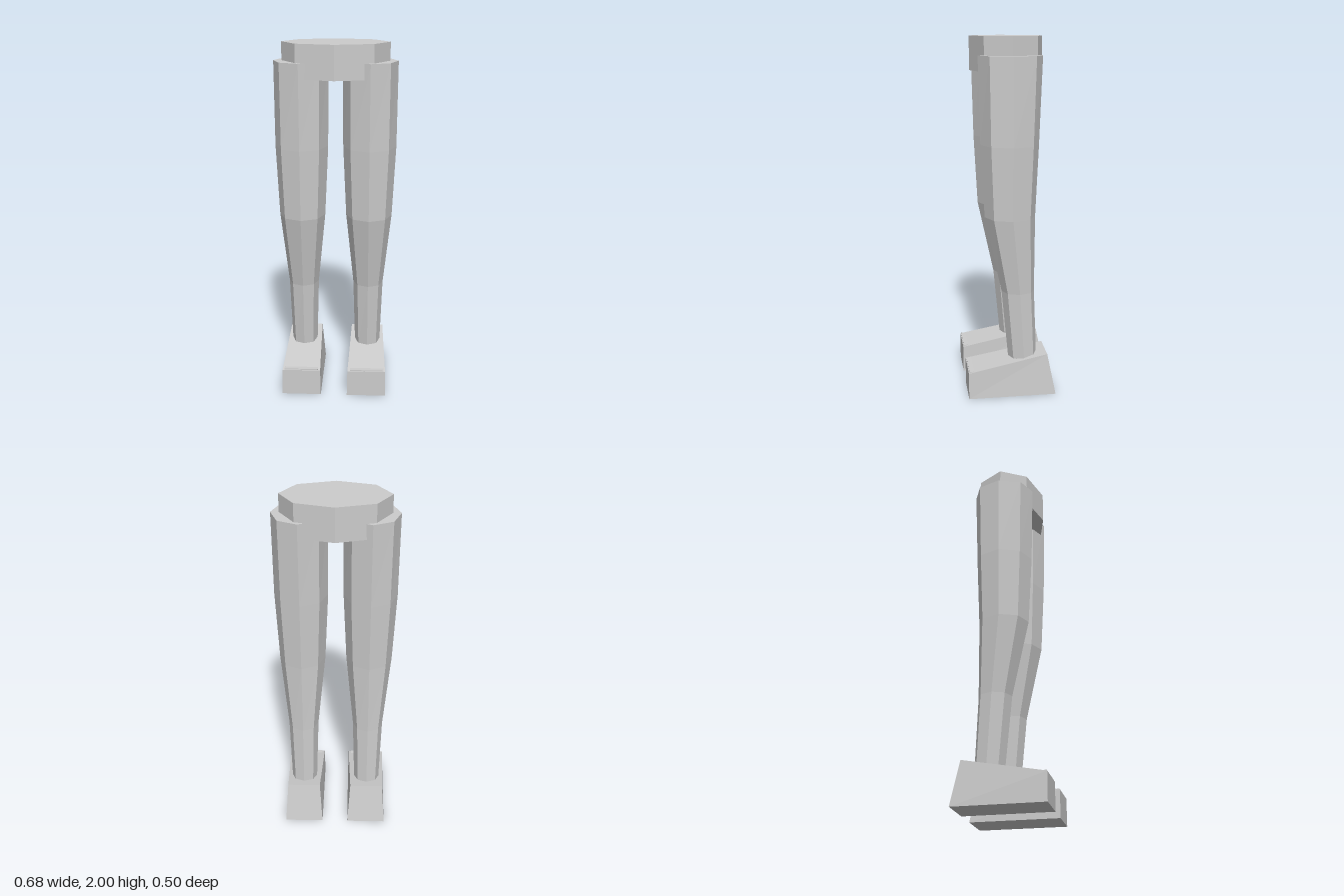
import * as THREE from 'three';

export function createModel() {
  const model = new THREE.Group();
  const grey = new THREE.MeshStandardMaterial({ color: 0xcccccc, flatShading: true });
  grey.name = 'plain grey';

  function add(name, geometry, parent = model) {
    const mesh = new THREE.Mesh(geometry, grey);
    mesh.name = name;
    parent.add(mesh);
    return mesh;
  }

  // Move every vertex of a geometry by a rule
  function reshape(geometry, rule) {
    const p = geometry.attributes.position;
    for (let i = 0; i < p.count; i++) p.setXYZ(i, ...rule(p.getX(i), p.getY(i), p.getZ(i)));
    geometry.computeVertexNormals();
    return geometry;
  }

  // Hips: eight-sided oval block
  const hips = add('hips', new THREE.CylinderGeometry(1, 1, 0.185, 8));
  hips.geometry.scale(0.295, 1, 0.202);
  hips.position.y = 1.9075;

  // Leg rings from thigh to ankle: height, half width, front z, back z
  const rings = [
    [1.9, 0.15, 0.174, -0.174],
    [1.43, 0.148, 0.163, -0.157],
    [1.03, 0.13, 0.142, -0.139],
    [0.6, 0.087, 0.049, -0.136],
    [0.207, 0.075, 0.012, -0.151],
  ];

  for (const [label, side] of [['left', 1], ['right', -1]]) {
    const limb = new THREE.Group();
    limb.name = label + 'Limb';
    limb.position.x = side * 0.19;
    model.add(limb);

    // Tapered eight-sided leg
    add(label + 'Leg', reshape(new THREE.CylinderGeometry(1, 1, 1, 8, 4), (x, y, z) => {
      const [h, w, front, back] = rings[Math.round((0.5 - y) * 4)];
      return [x * w, h, (front + back) / 2 + z * (front - back) / 2];
    }), limb);

    // Wedge foot: high narrow heel, low toe
    add(label + 'Foot', reshape(new THREE.BoxGeometry(1, 1, 1), (x, y, z) => {
      const heelTop = y > 0 && z < 0;
      const halfWidth = heelTop ? 0.0955 : y > 0 ? 0.109 : 0.112;
      return [
        Math.sign(x) * halfWidth - side * 0.002,
        y < 0 ? 0 : heelTop ? 0.24 : 0.154,
        heelTop ? -0.2 : Math.sign(z) * 0.248,
      ];
    }), limb);

    // Thin level strip along the toe
    const strip = add(label + 'ToeStrip', new THREE.BoxGeometry(0.194, 0.008, 0.026), limb);
    strip.position.set(0, 0.157, 0.231);
  }

  return model;
}
